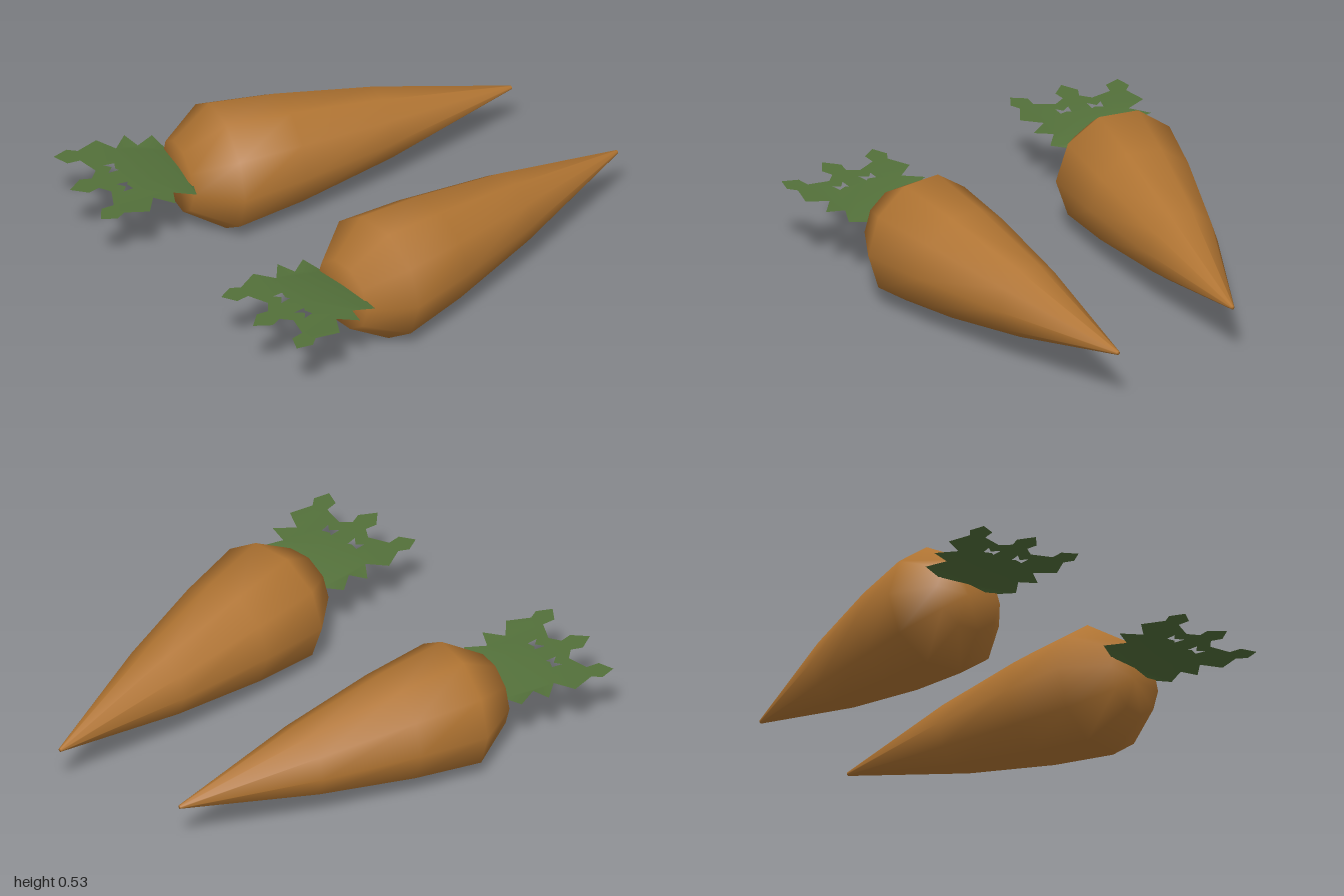
import * as THREE from 'three';

const carrotOrange = new THREE.MeshStandardMaterial({ color: 0xb07432 });
carrotOrange.name = 'carrotOrange';
const leafGreen = new THREE.MeshStandardMaterial({ color: 0x53703a, side: THREE.DoubleSide });
leafGreen.name = 'leafGreen';

// Ten-sided tapered root lying along z, tip at -z
function rootGeometry() {
  const profile = [[0, -1], [0.008, -1], [0.16, -0.4], [0.241, 0.03], [0.278, 0.33], [0.158, 0.51], [0, 0.51]]
    .map(([r, z]) => new THREE.Vector2(r, z));
  return new THREE.LatheGeometry(profile, 10, Math.PI / 2).rotateX(Math.PI / 2);
}

// Toothed leaf sheet: half outline as [x, z], mirrored, with two small gaps
function leafGeometry() {
  const half = [
    [0.13, 0.5], [0.227, 0.527], [0.18, 0.612], [0.26, 0.638], [0.188, 0.707], [0.272, 0.76],
    [0.235, 0.86], [0.262, 0.9], [0.238, 0.967], [0.173, 0.935], [0.17, 0.878], [0.08, 0.848],
    [0.036, 0.885], [0.05, 0.935],
  ];
  const gap = [[0.045, 0.758], [0.06, 0.768], [0.095, 0.757], [0.1, 0.803], [0.073, 0.778], [0.042, 0.808]];
  const vec = (pts, side) => pts.map(([x, z]) => new THREE.Vector2(x * side, z));
  const shape = new THREE.Shape([
    new THREE.Vector2(0, 0.5), ...vec(half, 1), new THREE.Vector2(0, 1), ...vec(half, -1).reverse(),
  ]);
  for (const side of [1, -1]) shape.holes.push(new THREE.Path(vec(gap, side)));

  // Lay the sheet flat and droop it towards the crown
  const geometry = new THREE.ShapeGeometry(shape).rotateX(Math.PI / 2);
  const p = geometry.attributes.position;
  for (let i = 0; i < p.count; i++) {
    const droop = 0.75 * Math.max(0, 0.78 - p.getZ(i)) ** 2;
    p.setY(i, 0.076 - droop * (1 - Math.abs(p.getX(i)) / 0.32));
  }
  // Turn the front of each face upwards
  const index = geometry.index;
  for (let i = 0; i < index.count; i += 3) {
    const a = index.getX(i);
    index.setX(i, index.getX(i + 1));
    index.setX(i + 1, a);
  }
  geometry.computeVertexNormals();
  return geometry;
}

export function createModel() {
  const model = new THREE.Group();
  model.name = 'carrotPair';
  const root = rootGeometry();
  const leaf = leafGeometry();

  // Two carrots, one turned at an angle
  const placements = [
    ['leftCarrot', 0.578, 0, 0],
    ['rightCarrot', -0.34, -0.009, -0.297],
  ];
  for (const [name, x, z, turn] of placements) {
    const carrot = new THREE.Group();
    carrot.name = name;
    const rootMesh = new THREE.Mesh(root, carrotOrange);
    rootMesh.name = 'root';
    const leafMesh = new THREE.Mesh(leaf, leafGreen);
    leafMesh.name = 'leaves';
    carrot.add(rootMesh, leafMesh);
    carrot.position.set(x, 0.266, z);
    carrot.rotation.y = turn;
    model.add(carrot);
  }
  return model;
}
